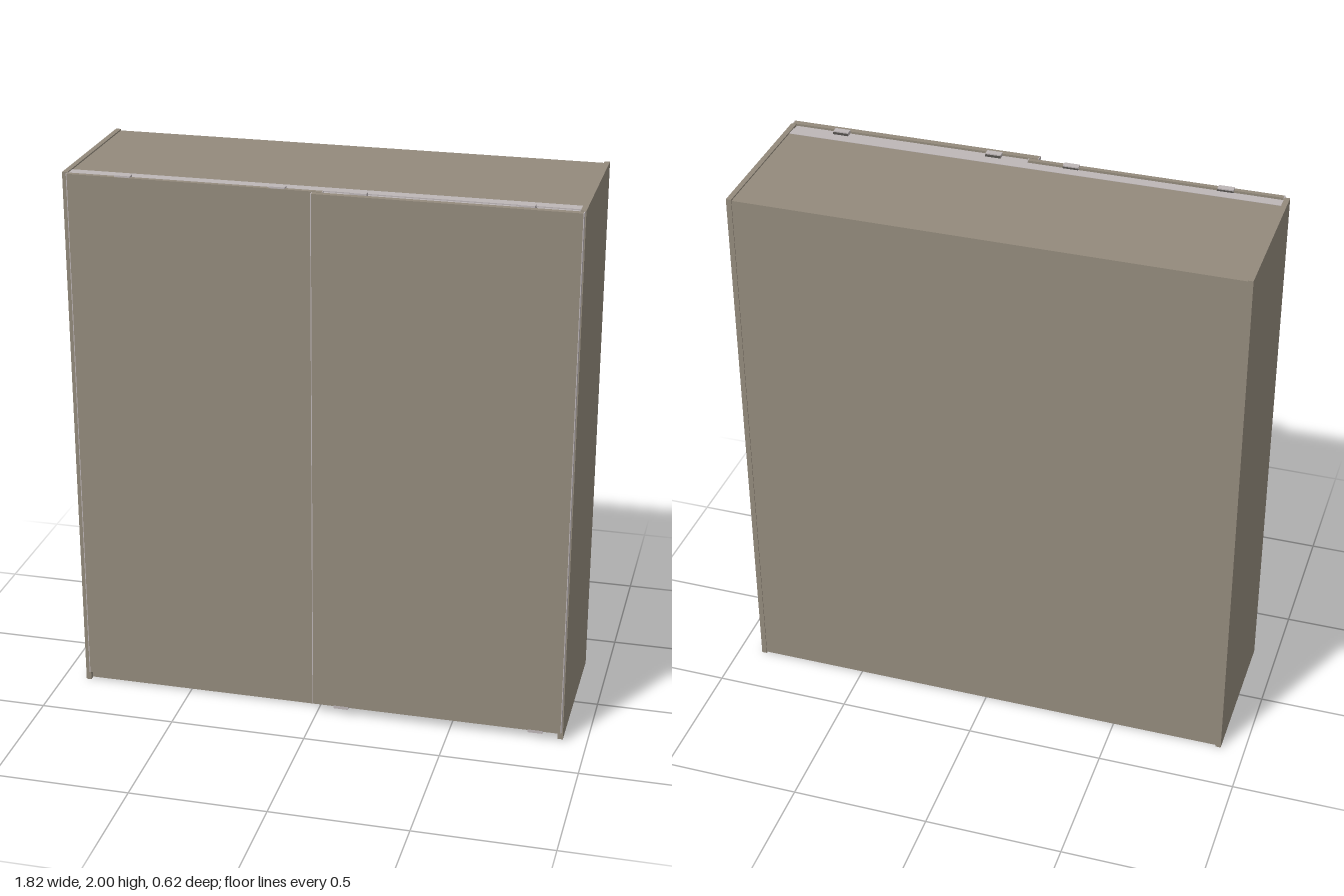
import * as THREE from 'three';

const mat = (name, color) => {
  const m = new THREE.MeshStandardMaterial({ color });
  m.name = name;
  return m;
};

export function createModel() {
  const group = new THREE.Group();
  group.name = 'slidingDoorWardrobe';
  const wood = mat('warm grey laminate', 0x938a7c);
  const metal = mat('light grey metal', 0xbdb6b7);
  const dark = mat('dark roller', 0x55524e);

  // box given by its lower and upper corners
  const box = (name, material, x0, x1, y0, y1, z0, z1) => {
    const mesh = new THREE.Mesh(new THREE.BoxGeometry(x1 - x0, y1 - y0, z1 - z0), material);
    mesh.position.set((x0 + x1) / 2, (y0 + y1) / 2, (z0 + z1) / 2);
    mesh.name = name;
    group.add(mesh);
    return mesh;
  };

  // carcass
  box('rightSidePanel', wood, -0.912, -0.893, 0, 1.995, -0.31, 0.268);
  box('leftSidePanel', wood, 0.893, 0.912, 0, 1.995, -0.31, 0.283);
  box('backPanel', wood, -0.893, 0.893, 0.005, 1.99, -0.307, -0.297);
  box('topPanel', wood, -0.893, 0.893, 1.972, 1.99, -0.297, 0.215);
  box('bottomPanel', wood, -0.893, 0.893, 0.022, 0.04, -0.297, 0.245);
  box('plinth', wood, -0.893, 0.893, 0.002, 0.038, 0.23, 0.25);
  box('underside', wood, -0.893, 0.893, 0.002, 0.022, -0.297, 0.23);

  // sliding tracks
  box('topTrack', metal, -0.893, 0.893, 1.965, 1.991, 0.215, 0.256);
  box('topTrackLip', metal, 0.02, 0.893, 1.965, 1.987, 0.256, 0.286);
  box('bottomTrack', metal, -0.893, 0.893, 0.03, 0.038, 0.25, 0.262);

  // doors with thin metal edge strips
  const door = (name, x0, x1, z0, z1) => {
    box(name, wood, x0 + 0.003, x1 - 0.003, 0.04, 1.994, z0, z1);
    box(name + 'EdgeStrip', metal, x0, x0 + 0.003, 0.04, 1.994, z0, z1);
    box(name + 'EdgeStrip', metal, x1 - 0.003, x1, 0.04, 1.994, z0, z1);
  };
  door('rearDoor', -0.893, 0.02, 0.266, 0.283);
  door('frontDoor', -0.016, 0.909, 0.288, 0.31);

  // hanging brackets above the doors, and the rollers they carry
  for (const [x, z] of [[-0.69, 0.256], [-0.14, 0.256], [0.145, 0.264], [0.715, 0.264]]) {
    box('doorBracket', metal, x - 0.028, x + 0.028, 1.975, 2.0, z, z + 0.024);
    box('bracketRoller', dark, x - 0.028, x + 0.028, 1.97, 1.996, z - 0.003, z);
  }

  // floor guides below the front door
  for (const x of [0.09, 0.813]) {
    box('doorGuide', metal, x - 0.027, x + 0.027, 0.025, 0.04, 0.262, 0.304);
  }
  return group;
}
